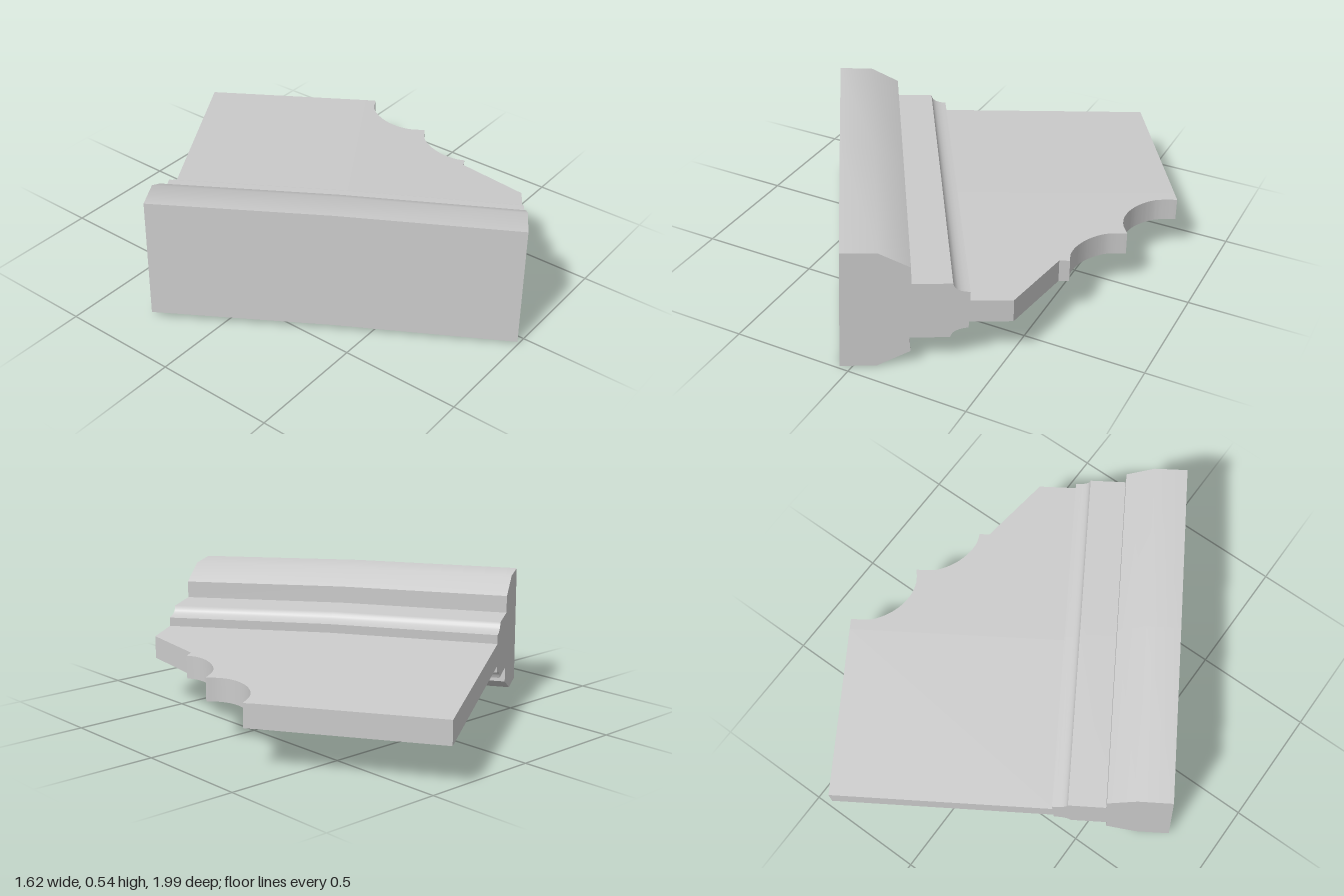
import * as THREE from 'three';
import { toCreasedNormals } from 'three/addons/utils/BufferGeometryUtils.js';

const LENGTH = 1.468, HALF = LENGTH / 2;

// Local axes: p runs out from the back wall, y up, l along the moulding.
// The piece sits at an angle in plan and its second half sags slightly.
function place(geometry) {
  const pos = geometry.attributes.position;
  for (let i = 0; i < pos.count; i++) {
    const p = pos.getX(i), y = pos.getY(i), l = pos.getZ(i);
    const sag = 0.018 * Math.max(0, (l - HALF) / HALF);
    pos.setXYZ(i, -0.81 + 0.853 * p + 0.5245 * l, y - sag, -0.255 - 0.522 * p + 0.8514 * l);
  }
  return toCreasedNormals(geometry, 0.5);
}

function part(name, geometry, material) {
  const mesh = new THREE.Mesh(place(geometry), material);
  mesh.name = name;
  return mesh;
}

// Moulding cross-section: chamfered block, step, small cove on both faces
function mouldingGeometry() {
  const s = new THREE.Shape();
  s.moveTo(0, 0.028);
  s.lineTo(0.14, 0.021);
  s.lineTo(0.27, 0.083);
  s.lineTo(0.267, 0.148);
  s.lineTo(0.42, 0.14);
  s.quadraticCurveTo(0.427, 0.178, 0.49, 0.182);
  s.lineTo(0.498, 0.345);
  s.quadraticCurveTo(0.438, 0.35, 0.434, 0.386);
  s.lineTo(0.281, 0.393);
  s.lineTo(0.281, 0.466);
  s.lineTo(0.164, 0.533);
  s.lineTo(0.024, 0.54);
  s.closePath();
  return new THREE.ExtrudeGeometry(s, { depth: LENGTH, steps: 2, bevelEnabled: false, curveSegments: 6 });
}

// Flat plate from an outline in (p, l), tilted gently downwards as it runs out
function plateGeometry(shape) {
  const g = new THREE.ExtrudeGeometry(shape, { depth: 0.097, bevelEnabled: false, curveSegments: 10 });
  g.rotateX(-Math.PI / 2);
  const pos = g.attributes.position;
  for (let i = 0; i < pos.count; i++) {
    pos.setY(i, pos.getY(i) + 0.21 - 0.053 * (pos.getX(i) - 0.49));
  }
  return g;
}

// Plan position (x, z) to outline coordinates (p, -l)
function plan(x, z) {
  const dx = x + 0.81, dz = z + 0.26;
  return new THREE.Vector2(dx * 0.853 - dz * 0.522, -(dx * 0.5245 + dz * 0.8514));
}

export function createModel() {
  const group = new THREE.Group();
  group.name = 'corniceFragment';
  const grey = new THREE.MeshStandardMaterial({ color: 0xcccccc });

  group.add(part('moulding', mouldingGeometry(), grey));

  // Whole half of the plate
  const whole = new THREE.Shape([
    new THREE.Vector2(0.49, 0), new THREE.Vector2(0.49, -HALF),
    new THREE.Vector2(1.423, -HALF), new THREE.Vector2(1.418, 0),
  ]);
  group.add(part('plateWholeHalf', plateGeometry(whole), grey));

  // Broken half, with two scalloped bites and a chipped corner
  const broken = new THREE.Shape();
  broken.moveTo(0.49, -HALF);
  broken.lineTo(0.49, -LENGTH);
  broken.lineTo(0.659, -LENGTH);
  const chip = plan(0.56, 0.325);
  broken.lineTo(chip.x, chip.y);
  const bites = [
    [[0.597, 0.305], [0.58, 0.255], [0.582, 0.19], [0.605, 0.12], [0.65, 0.055], [0.72, 0.008]],
    [[0.72, 0.008], [0.682, -0.045], [0.666, -0.115], [0.68, -0.2], [0.73, -0.285], [0.81, -0.34]],
  ];
  for (const bite of bites) {
    const pts = bite.map(([x, z]) => plan(x, z));
    broken.lineTo(pts[0].x, pts[0].y);
    broken.splineThru(pts.slice(1));
  }
  broken.lineTo(1.423, -HALF);
  broken.closePath();
  group.add(part('plateBrokenHalf', plateGeometry(broken), grey));

  return group;
}
